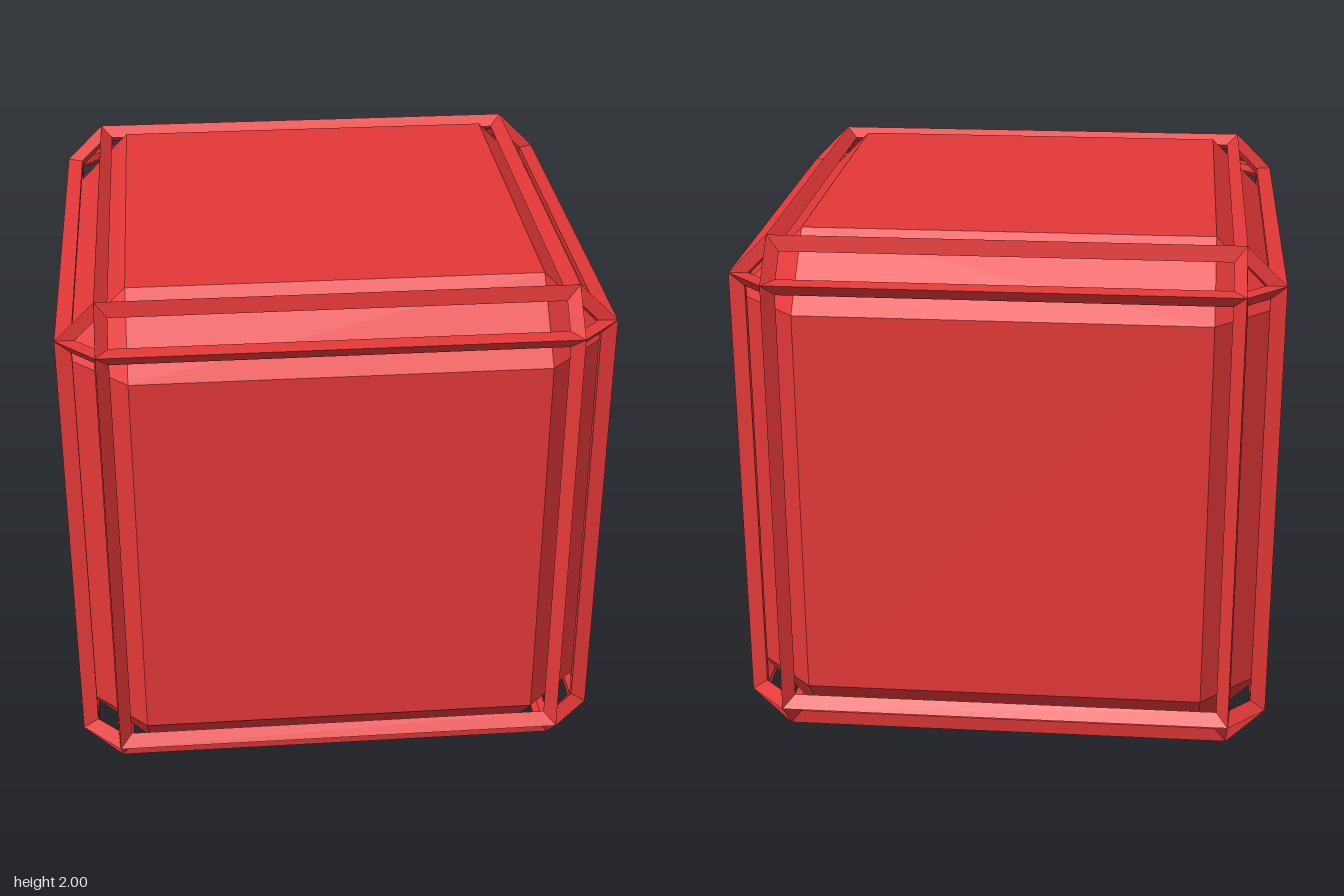
import * as THREE from 'three';

// Faces of a cube with chamfered edges and corners, each a counter-clockwise loop
function chamferedCubeFaces(h, b) {
  const verts = [];
  for (let axis = 0; axis < 3; axis++)
    for (const x of [-1, 1]) for (const y of [-1, 1]) for (const z of [-1, 1]) {
      const c = [x * b, y * b, z * b];
      c[axis] *= h / b;
      verts.push(new THREE.Vector3(...c));
    }
  const faces = [];
  for (const x of [-1, 0, 1]) for (const y of [-1, 0, 1]) for (const z of [-1, 0, 1]) {
    const dir = new THREE.Vector3(x, y, z);
    if (dir.lengthSq() === 0) continue;
    // corners lying furthest along this direction, ordered around it
    const far = Math.max(...verts.map(v => v.dot(dir)));
    const loop = verts.filter(v => v.dot(dir) > far - 1e-6);
    dir.normalize();
    const u = loop[0].clone().addScaledVector(dir, -loop[0].dot(dir)).normalize();
    const w = dir.clone().cross(u);
    const angle = v => Math.atan2(v.dot(w), v.dot(u));
    faces.push(loop.sort((a, c) => angle(a) - angle(c)));
  }
  return faces;
}

function geometryFromPolygons(polygons) {
  const points = [];
  for (const p of polygons)
    for (let i = 1; i < p.length - 1; i++) points.push(p[0], p[i], p[i + 1]);
  const geometry = new THREE.BufferGeometry().setFromPoints(points);
  geometry.computeVertexNormals();
  return geometry;
}

// Kite-section bars along every edge of the chamfered cube
function frameGeometry(h, b, t, depth) {
  const shift = (v, amount) => {
    const n = v.toArray().map(c => Math.sign(c) * (Math.abs(c) > (h + b) / 2 ? 0.875 : 0.341));
    return v.clone().addScaledVector(new THREE.Vector3(...n), amount);
  };
  const quads = [];
  for (const face of chamferedCubeFaces(h, b)) {
    const count = face.length;
    const outer = face.map(v => shift(v, t));
    const inner = face.map(v => shift(v, -depth));
    const inset = face.map((v, i) => {
      const toNext = face[(i + 1) % count].clone().sub(v).normalize();
      const toPrev = face[(i + count - 1) % count].clone().sub(v).normalize();
      return v.clone().addScaledVector(toNext.add(toPrev).normalize(), t);
    });
    for (let i = 0; i < count; i++) {
      const j = (i + 1) % count;
      quads.push([outer[i], outer[j], inset[j], inset[i]]);
      quads.push([inset[i], inset[j], inner[j], inner[i]]);
    }
  }
  return geometryFromPolygons(quads);
}

export function createModel() {
  const red = new THREE.MeshStandardMaterial({ color: 0xe43838 });
  red.name = 'red';
  red.flatShading = true;

  const group = new THREE.Group();
  group.name = 'framedCube';
  const add = (name, geometry) => {
    const mesh = new THREE.Mesh(geometry, red);
    mesh.name = name;
    mesh.position.y = 1;
    group.add(mesh);
  };

  add('edgeFrame', frameGeometry(0.9625, 0.84, 0.043, 0.024));
  // solid block inside, flush with the bars, its wider chamfers leaving gaps behind them
  add('innerBlock', geometryFromPolygons(chamferedCubeFaces(1, 0.747)));
  return group;
}
